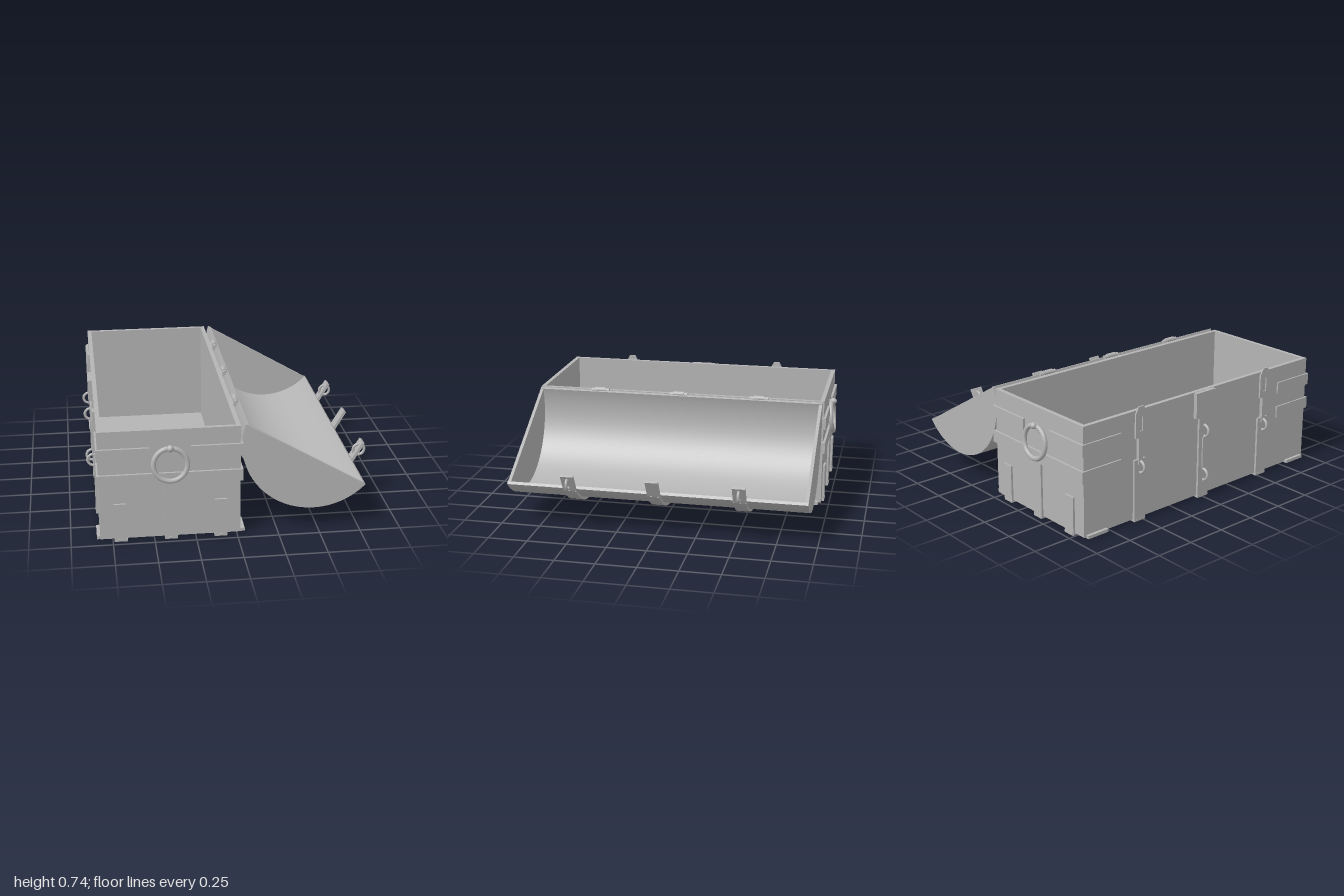
import * as THREE from 'three';
import { toCreasedNormals } from 'three/addons/utils/BufferGeometryUtils.js';

export function createModel() {
  const root = new THREE.Group();
  const grey = new THREE.MeshStandardMaterial({ color: 0xb4b4b4 });
  grey.name = 'plain grey';

  const add = (name, geo, parent = root) => {
    const m = new THREE.Mesh(geo, grey);
    m.name = name;
    parent.add(m);
    return m;
  };
  // Box given by its minimum and maximum corners
  const block = (name, x0, x1, y0, y1, z0, z1, parent = root) => {
    const m = add(name, new THREE.BoxGeometry(x1 - x0, y1 - y0, z1 - z0), parent);
    m.position.set((x0 + x1) / 2, (y0 + y1) / 2, (z0 + z1) / 2);
    return m;
  };
  // Shape in the x-y plane, extruded along z between two values
  const slab = (name, shape, z0, z1, parent = root) => {
    const g = new THREE.ExtrudeGeometry(shape, { depth: z1 - z0, bevelEnabled: false, curveSegments: 40 });
    const m = add(name, toCreasedNormals(g, 0.5), parent);
    m.position.z = z0;
    return m;
  };
  const loop = (name, x, y, z, r, tube, parent = root) => {
    const m = add(name, new THREE.TorusGeometry(r, tube, 10, 28), parent);
    m.position.set(x, y, z);
    return m;
  };

  const strapZ = [-0.53, 0, 0.53];
  const L = -0.825, R = 0.02, top = 0.707, E = 0.95, wall = 0.027;

  // Open box
  const box = new THREE.Group();
  box.name = 'chestBody';
  root.add(box);
  block('floor', L, R, 0.015, 0.04, -E, E, box);
  block('frontWall', L, L + wall, 0.04, top, -E, E, box);
  block('hingeWall', R - wall, R, 0.04, top, -E, E, box);
  for (const s of [-1, 1]) {
    const a = s * E, b = s * (E - wall);
    block('endWall', L + wall, R - wall, 0.04, top, Math.min(a, b), Math.max(a, b), box);
  }

  // Grid of bars under the floor
  for (const x of [-0.7, -0.4, -0.1]) block('longBottomBar', x - 0.038, x + 0.038, 0, 0.016, -0.965, 0.965);
  for (const z of strapZ) block('crossBottomBar', L - 0.015, 0.045, 0.002, 0.016, z - 0.043, z + 0.043);
  for (const z of [-0.858, 0.858]) block('cornerFoot', -0.845, 0.05, 0.008, 0.028, z - 0.075, z + 0.075);

  // Both ends: straps, bands and ring handle
  for (const turn of [0, Math.PI]) {
    const end = new THREE.Group();
    end.name = 'endFittings';
    end.position.x = -0.4;
    end.rotation.y = turn;
    root.add(end);
    const z0 = E - 0.002, z1 = E + 0.013, w = 0.435;
    block('middleStrap', -0.038, 0.038, 0, 0.365, z0, z1, end);
    for (const x of [-0.303, 0.303]) block('shortStrap', x - 0.038, x + 0.038, 0, 0.245, z0, z1, end);
    block('lowerBand', -w, w, 0.36, 0.435, z0, z1 + 0.002, end);
    for (const s of [-1, 1]) {
      const c = s * (w + 0.123) / 2, h = (w - 0.123) / 2;
      block('upperBand', c - h, c + h, 0.525, 0.6, z0, z1 + 0.002, end);
      // Bands wrap around the corners
      for (const y of [0.36, 0.525]) {
        const x0 = s > 0 ? 0.418 : -w;
        block('cornerBand', x0, x0 + w - 0.418, y, y + 0.075, 0.67, z1, end);
      }
    }
    const ring = loop('ringHandle', 0, 0.492, 0.974, 0.101, 0.0155, end);
    ring.rotation.x = -0.1;
    const pin = add('handlePin', new THREE.CylinderGeometry(0.012, 0.012, 0.04, 12), end);
    pin.rotation.x = Math.PI / 2;
    pin.position.set(0, 0.597, 0.965);
    const knob = add('handleKnob', new THREE.SphereGeometry(0.021, 16, 12), end);
    knob.position.set(0, 0.597, 0.979);
  }

  // Lock side: straps, slotted hasps and loops
  for (const z of strapZ) {
    block('lockStrap', L - 0.014, L + 0.001, 0, z === 0 ? 0.56 : 0.4, z - 0.043, z + 0.043);
    block('hingeStrap', R - 0.001, 0.045, 0, 0.365, z - 0.043, z + 0.043);
    if (z === 0) {
      block('lockPlate', L - 0.026, L + 0.001, 0.54, 0.705, -0.08, 0.08);
      loop('lockLoop', -0.84, 0.445, 0, 0.037, 0.009);
      block('lockLink', L - 0.022, L - 0.01, 0.2, 0.4, -0.016, 0.016);
      loop('lowerLoop', -0.84, 0.152, 0, 0.037, 0.009);
    } else {
      const s = new THREE.Shape();
      s.moveTo(-0.043, 0.54).lineTo(0.043, 0.54).lineTo(0.043, 0.69).lineTo(0.02, 0.735);
      s.lineTo(-0.02, 0.735).lineTo(-0.043, 0.69).closePath();
      const slot = new THREE.Path();
      slot.moveTo(-0.012, 0.58).lineTo(-0.012, 0.67).lineTo(0.012, 0.67).lineTo(0.012, 0.58).closePath();
      s.holes.push(slot);
      const hasp = slab('hasp', s, 0, 0.01);
      hasp.rotation.y = -Math.PI / 2;
      hasp.position.set(-0.838, 0, z);
      block('haspBack', L - 0.014, L + 0.001, 0.55, 0.68, z - 0.03, z + 0.03);
      block('haspLink', L - 0.022, L + 0.001, 0.37, 0.55, z - 0.016, z + 0.016);
      loop('haspLoop', -0.84, 0.352, z, 0.037, 0.009);
    }
  }

  // Curved lid hanging open
  const lid = new THREE.Group();
  lid.name = 'openLid';
  root.add(lid);
  const cx = 0.468, cy = 0.581, r = 0.438, a0 = 2.842, a1 = 5.527;
  const arcBand = (ri, ro, from, to) => {
    const s = new THREE.Shape();
    s.absarc(cx, cy, ro, from, to, false);
    s.absarc(cx, cy, ri, to, from, true);
    s.closePath();
    return s;
  };
  slab('lidShell', arcBand(r - 0.02, r, a0, a1), -0.94, 0.94, lid);
  const cap = new THREE.Shape();
  cap.absarc(cx, cy, r - 0.001, a0, a1, false);
  cap.closePath();
  for (const z of [-0.94, 0.92]) slab('lidEnd', cap, z, z + 0.02, lid);

  // Lid straps, latch tabs and hinges
  for (const z of strapZ) {
    slab('lidStrap', arcBand(r - 0.002, r + 0.018, 3.42, a1 + 0.01), z - 0.04, z + 0.04, lid);
    const tab = add('latchTab', new THREE.BoxGeometry(0.018, 0.13, 0.08), lid);
    tab.position.set(0.826, 0.331, z);
    tab.rotation.z = -0.528;
    if (z !== 0) loop('latchLoop', 0.838, 0.33, z, 0.036, 0.009, lid);

    const barrel = add('hingeBarrel', new THREE.CylinderGeometry(0.014, 0.014, 0.12, 16));
    barrel.rotation.x = Math.PI / 2;
    barrel.position.set(0.042, 0.71, z);
    const knuckle = add('hingeKnuckle', new THREE.CylinderGeometry(0.017, 0.017, 0.07, 16));
    knuckle.rotation.x = Math.PI / 2;
    knuckle.position.set(0.042, 0.713, z);
    block('hingeLeaf', R - 0.001, 0.04, 0.685, 0.706, z - 0.06, z + 0.06);
  }
  return root;
}
